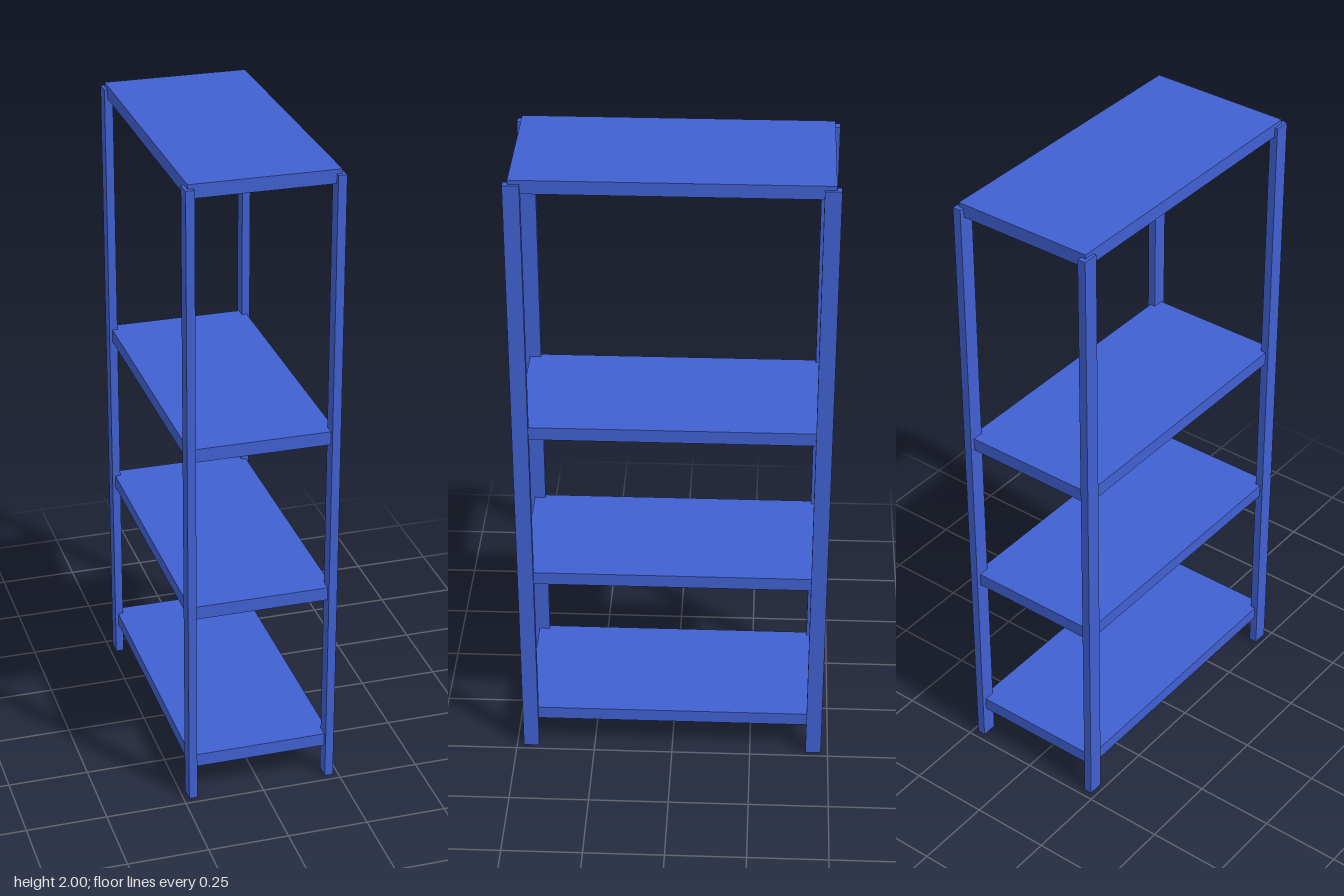
import * as THREE from 'three';

export function createModel() {
  const group = new THREE.Group();
  const blue = new THREE.MeshStandardMaterial({ color: 0x4060d0 });

  const addBox = (name, size, position) => {
    const mesh = new THREE.Mesh(new THREE.BoxGeometry(...size), blue);
    mesh.name = name;
    mesh.position.set(...position);
    group.add(mesh);
  };

  // Four corner posts, stopping just below the top of the upper shelf
  const postHeight = 1.987;
  for (const [sideName, sx] of [['Left', 1], ['Right', -1]]) {
    for (const [endName, sz] of [['front', 1], ['back', -1]]) {
      addBox(`${endName}${sideName}Post`, [0.026, postHeight, 0.049],
        [sx * 0.22, postHeight / 2, sz * 0.4535]);
    }
  }

  // Four shelves set into the posts, given by their top heights
  const thickness = 0.042;
  [0.146, 0.667, 1.19, 2].forEach((top, i) => {
    addBox(`shelf${i + 1}`, [0.447, thickness, 0.927], [0, top - thickness / 2, 0]);
  });

  return group;
}
